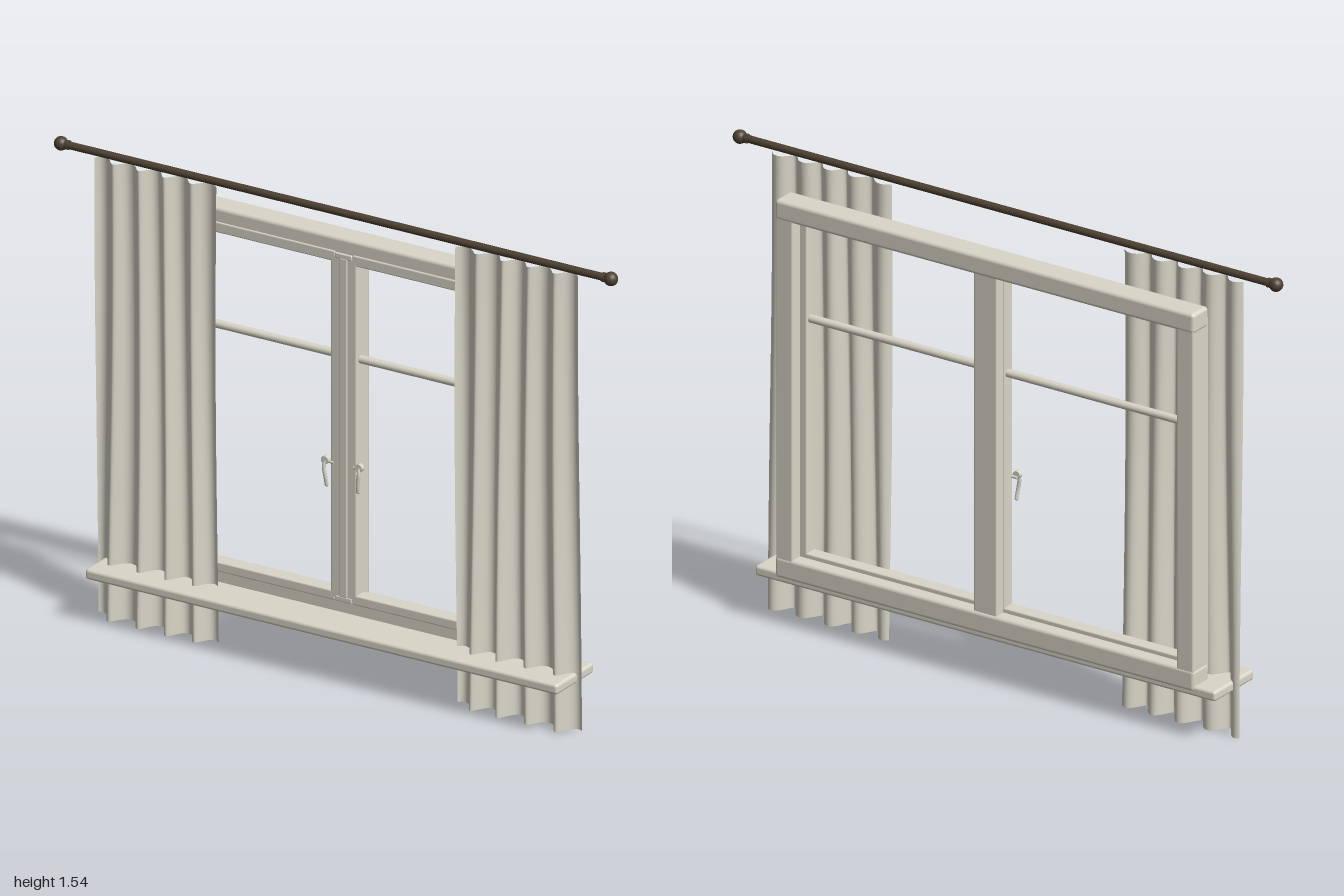
import * as THREE from 'three';
import { RoundedBoxGeometry } from 'three/addons/geometries/RoundedBoxGeometry.js';

const paint = new THREE.MeshStandardMaterial({ color: 0xdad6c8 });
paint.name = 'warm white paint';
const linen = new THREE.MeshStandardMaterial({ color: 0xdad6c8, side: THREE.DoubleSide });
linen.name = 'linen';
const bronze = new THREE.MeshStandardMaterial({ color: 0x4d4132 });
bronze.name = 'dark bronze';

function add(parent, name, geometry, material, x = 0, y = 0, z = 0) {
  const mesh = new THREE.Mesh(geometry, material);
  mesh.name = name;
  mesh.position.set(x, y, z);
  parent.add(mesh);
  return mesh;
}

// Soft-edged beam given by its minimum and maximum on each axis
function beam(parent, name, [x0, x1], [y0, y1], [z0, z1], radius = 0.005) {
  const geo = new RoundedBoxGeometry(x1 - x0, y1 - y0, z1 - z0, 3, radius);
  return add(parent, name, geo, paint, (x0 + x1) / 2, (y0 + y1) / 2, (z0 + z1) / 2);
}

// Mirrors a range onto the side s (+1 or -1)
const side = (s, a, b) => (s > 0 ? [a, b] : [-b, -a]);

function rod(parent, name, length, radius, material, x, y, z) {
  const geo = new THREE.CylinderGeometry(radius, radius, length, 20).rotateZ(Math.PI / 2);
  return add(parent, name, geo, material, x, y, z);
}

// Pleated cloth whose folds deepen and wander a little towards the hem
function curtainGeometry(s) {
  const x0 = 0.425, x1 = 0.86, height = 1.495;
  const geo = new THREE.PlaneGeometry(x1 - x0, height, 120, 30);
  const p = geo.attributes.position;
  for (let i = 0; i < p.count; i++) {
    const x = p.getX(i) + (x0 + x1) / 2;
    const y = p.getY(i) + height / 2;
    const drop = 1 - y / height;
    const phase = (x - 0.79) / 0.097 * Math.PI * 2 + 0.5 * Math.sin(drop * 3 + x * 9);
    const depth = (0.019 + 0.011 * drop) * (0.9 + 0.1 * Math.sin(x * 23));
    const z = 0.022 + depth * Math.sin(phase + Math.PI / 2 + 0.35 * Math.sin(phase));
    p.setXYZ(i, s * x, y, z);
  }
  if (s < 0) {
    // keep the cloth facing forward after mirroring
    const idx = geo.index;
    for (let i = 0; i < idx.count; i += 3) {
      const a = idx.getX(i);
      idx.setX(i, idx.getX(i + 1));
      idx.setX(i + 1, a);
    }
  }
  geo.computeVertexNormals();
  return geo;
}

function handle(s) {
  const group = new THREE.Group();
  group.name = 'windowHandle';
  rod(group, 'handleStem', 0.03, 0.005, paint, s * 0.05, 0.668, -0.022);
  const knob = new THREE.CylinderGeometry(0.013, 0.013, 0.014, 20).rotateX(Math.PI / 2);
  add(group, 'handleHub', knob, paint, s * 0.06, 0.675, -0.015);
  const path = new THREE.CatmullRomCurve3([
    [0.06, 0.675, -0.012], [0.062, 0.655, -0.008], [0.058, 0.625, -0.009], [0.056, 0.595, -0.014],
  ].map(([x, y, z]) => new THREE.Vector3(s * x, y, z)));
  add(group, 'handleLever', new THREE.TubeGeometry(path, 16, 0.006, 10), paint);
  add(group, 'handleTip', new THREE.SphereGeometry(0.0062, 12, 8), paint, s * 0.056, 0.595, -0.014);
  return group;
}

function sash(s) {
  const group = new THREE.Group();
  group.name = 'sash';
  const z = [-0.065, -0.02];
  beam(group, 'meetingStile', side(s, 0.01, 0.046), [0.23, 1.35], z);
  beam(group, 'outerStile', side(s, 0.675, 0.715), [0.22, 1.36], z);
  beam(group, 'topRail', side(s, 0.03, 0.71), [1.327, 1.362], z);
  beam(group, 'bottomRail', side(s, 0.03, 0.71), [0.218, 0.25], z);
  rod(group, 'glazingBar', 0.65, 0.013, paint, s * 0.365, 1.017, -0.045);
  group.add(handle(s));
  return group;
}

export function createModel() {
  const model = new THREE.Group();
  model.name = 'curtainedWindow';

  // Outer frame and sill
  const frame = new THREE.Group();
  frame.name = 'frame';
  model.add(frame);
  beam(frame, 'head', [-0.765, 0.765], [1.342, 1.408], [-0.106, -0.024], 0.012);
  beam(frame, 'bottomBeam', [-0.765, 0.765], [0.165, 0.235], [-0.106, -0.024], 0.012);
  for (const s of [1, -1]) {
    beam(frame, 'jamb', side(s, 0.7, 0.762), [0.2, 1.37], [-0.104, -0.02], 0.006);
  }
  beam(frame, 'mullion', [-0.042, 0.042], [0.225, 1.352], [-0.1, -0.06]);
  beam(frame, 'centreStrip', [-0.014, 0.014], [0.235, 1.345], [-0.06, -0.017], 0.004);
  for (const y of [0.228, 1.35]) {
    beam(frame, 'stripCap', [-0.03, 0.03], [y - 0.009, y + 0.009], [-0.06, -0.018], 0.004);
  }
  beam(model, 'sill', [-0.84, 0.84], [0.15, 0.184], [-0.102, 0.108], 0.01);

  // Opening sashes and curtains
  for (const s of [1, -1]) {
    model.add(sash(s));
    add(model, 'curtain', curtainGeometry(s), linen);
  }

  // Curtain rod with ball ends
  rod(model, 'curtainRod', 1.94, 0.012, bronze, 0, 1.515, 0.022);
  for (const s of [1, -1]) {
    add(model, 'rodFinial', new THREE.SphereGeometry(0.022, 24, 16), bronze, s * 0.978, 1.515, 0.022);
    rod(model, 'rodCollar', 0.012, 0.015, bronze, s * 0.955, 1.515, 0.022);
  }
  return model;
}
